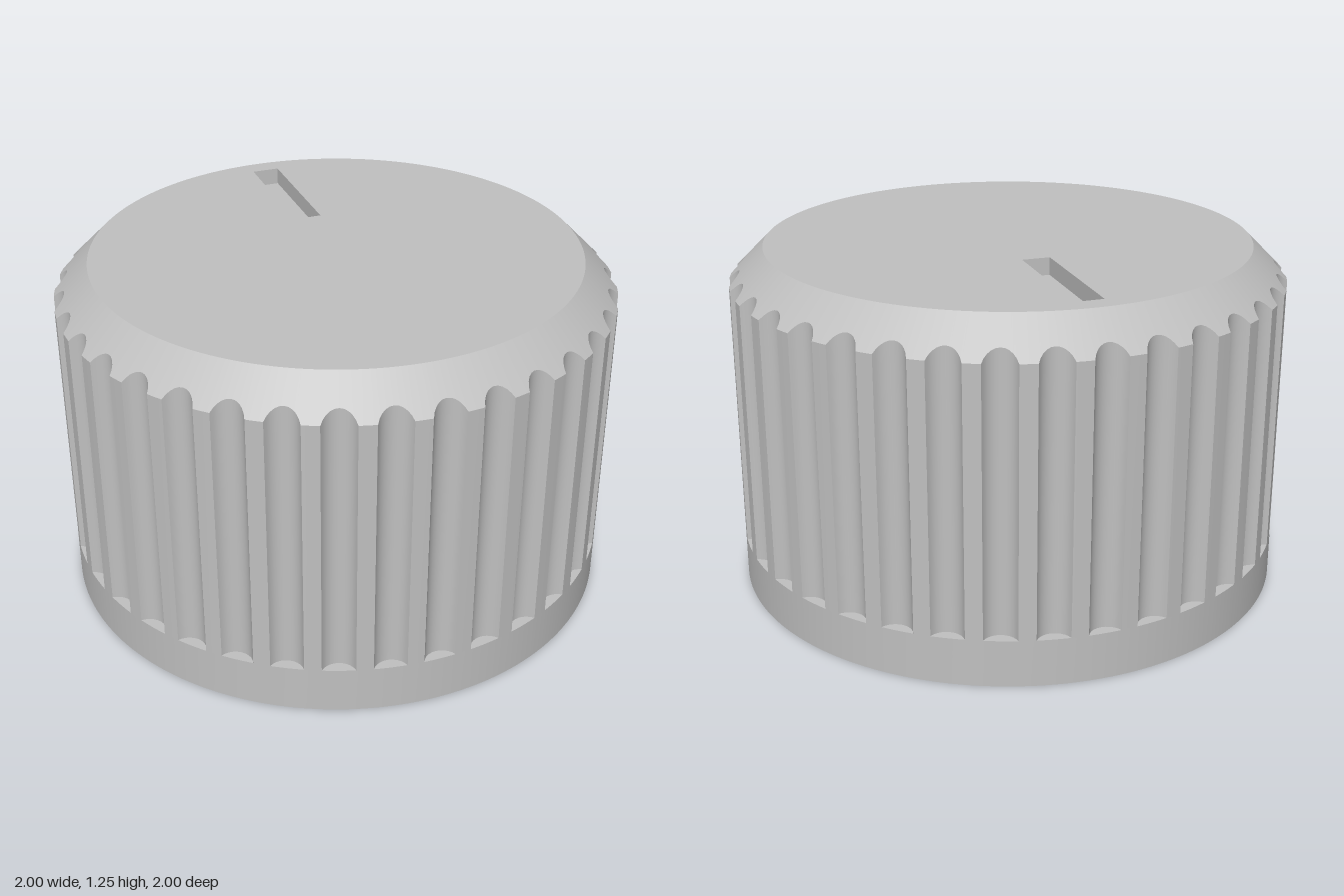
import * as THREE from 'three';
import { toCreasedNormals } from 'three/addons/utils/BufferGeometryUtils.js';

const FLUTES = 36, FLUTE_R = 0.0625, FLUTE_C = 1.0225; // flute cutter radius and its centre distance
const HEIGHT = 1.25, SKIRT = 0.17, TOP_R = 0.875, CONE = HEIGHT + TOP_R;

// Polar outline of the fluted grip: [angle, radius] going round from the front
function flutedOutline() {
  const pts = [], steps = 10, pitch = (Math.PI * 2) / FLUTES;
  const phi = Math.acos((FLUTE_C ** 2 + FLUTE_R ** 2 - 1) / (2 * FLUTE_C * FLUTE_R));
  for (let k = 0; k < FLUTES; k++) {
    let last = 0;
    for (let i = 0; i <= steps; i++) {
      const t = phi * ((2 * i) / steps - 1);
      const x = FLUTE_R * Math.sin(t), z = FLUTE_C - FLUTE_R * Math.cos(t);
      last = Math.atan2(x, z);
      pts.push([k * pitch + last, i % steps ? Math.hypot(x, z) : 1]);
    }
    pts.push([(k + 0.5) * pitch, 1]); // middle of the ridge
  }
  return pts;
}

// Closed wall between two loops of points
function strip(lower, upper) {
  const pos = [], n = lower.length;
  for (let i = 0; i < n; i++) {
    const j = (i + 1) % n, a = lower[i], b = lower[j], c = upper[j], d = upper[i];
    if (a.distanceTo(d) < 1e-6 && b.distanceTo(c) < 1e-6) continue;
    if (b.distanceTo(c) > 1e-6) for (const p of [a, b, c]) pos.push(p.x, p.y, p.z);
    if (a.distanceTo(d) > 1e-6) for (const p of [a, c, d]) pos.push(p.x, p.y, p.z);
  }
  const g = new THREE.BufferGeometry();
  g.setAttribute('position', new THREE.Float32BufferAttribute(pos, 3));
  return toCreasedNormals(g, 0.5);
}

// Flat face at height y, facing up (dir = 1) or down (dir = -1)
function cap(loop, y, dir, hole) {
  const flat = (l) => l.map((p) => new THREE.Vector2(p.x, -dir * p.z));
  const shape = new THREE.Shape(flat(loop));
  if (hole) shape.holes.push(new THREE.Path(flat(hole)));
  return new THREE.ShapeGeometry(shape).rotateX((-dir * Math.PI) / 2).translate(0, y, 0);
}

export function createModel() {
  const group = new THREE.Group();
  group.name = 'controlKnob';
  const grey = new THREE.MeshStandardMaterial({ color: 0xc0c0c0 });
  grey.name = 'grey';
  const add = (name, geometry) => {
    const mesh = new THREE.Mesh(geometry, grey);
    mesh.name = name;
    group.add(mesh);
  };

  const outline = flutedOutline();
  const ring = (radius, height) => outline.map(([a, r]) => {
    const q = radius(r);
    return new THREE.Vector3(q * Math.sin(a), height(r), q * Math.cos(a));
  });
  const raise = (loop, y) => loop.map((p) => new THREE.Vector3(p.x, y, p.z));

  const bottom = ring(() => 1, () => 0);
  const skirtTop = ring(() => 1, () => SKIRT);
  const gripFoot = ring((r) => r, () => SKIRT);
  const gripTop = ring((r) => r, (r) => CONE - r);
  const rim = ring(() => TOP_R, () => HEIGHT);

  // Outer body
  add('skirt', strip(bottom, skirtTop));
  add('fluteFloors', strip(skirtTop, gripFoot));
  add('flutedGrip', strip(gripFoot, gripTop));
  add('chamfer', strip(gripTop, rim));

  // Top face with the sunken pointer slot
  const slot = [[-0.05, -0.3], [0.05, -0.3], [0.05, -0.8], [-0.05, -0.8]]
    .map(([x, z]) => new THREE.Vector3(x, HEIGHT, z));
  const slotY = HEIGHT - 0.0625;
  add('topFace', cap(rim, HEIGHT, 1, slot));
  add('pointerSlotWalls', strip(slot, raise(slot, slotY)));
  add('pointerSlotFloor', cap(slot, slotY, 1));

  // Underside with the D-shaped shaft bore, flat towards the back
  const boreR = 0.255, boreTop = 0.83, half = Math.PI - Math.acos(0.13 / boreR);
  const bore = [];
  for (let i = 0; i <= 48; i++) {
    const a = half * (i / 24 - 1);
    bore.push(new THREE.Vector3(boreR * Math.sin(a), 0, boreR * Math.cos(a)));
  }
  add('bottomFace', cap(bottom, 0, -1, bore));
  add('shaftBoreWall', strip(raise(bore, boreTop), bore));
  add('shaftBoreEnd', cap(bore, boreTop, -1));

  return group;
}
